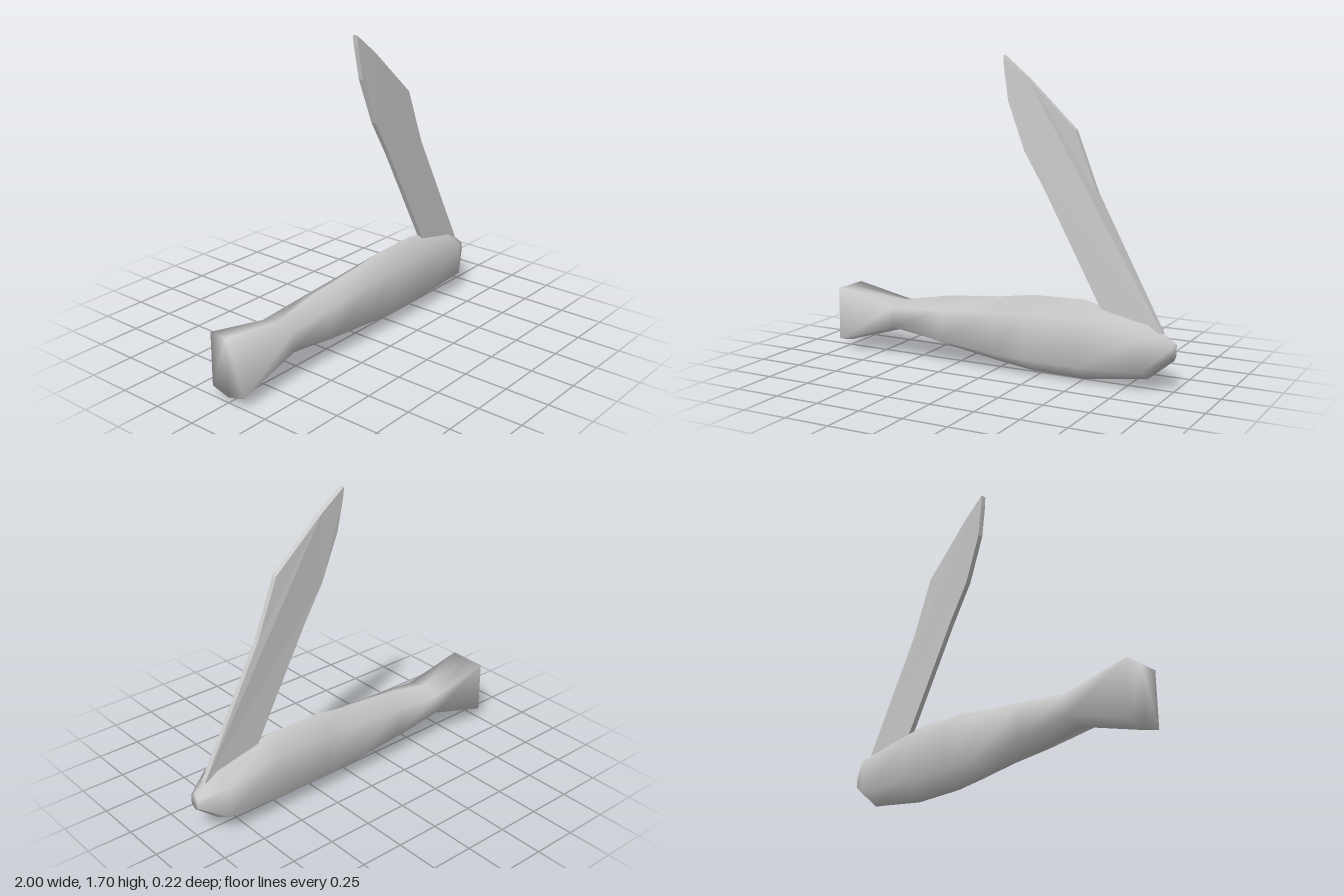
import * as THREE from 'three';

const material = new THREE.MeshStandardMaterial({ color: 0xcccccc, side: THREE.DoubleSide });

// Six-sided handle lofted through stations: x, top, upper side, lower side, bottom, half width
function makeHandle() {
  const stations = [
    [-1, 0.36, 0.36, 0.06, 0.03, 0.11],
    [-0.63, 0.31, 0.285, 0.17, 0.14, 0.11],
    [-0.33, 0.365, 0.305, 0.13, 0.08, 0.11],
    [0, 0.395, 0.325, 0.1, 0.03, 0.11],
    [0.2, 0.425, 0.34, 0.09, 0.005, 0.11],
    [0.5, 0.43, 0.345, 0.09, 0, 0.11],
    [0.86, 0.35, 0.29, 0.11, 0.05, 0.11],
    [1, 0.26, 0.24, 0.185, 0.165, 0.03],
  ];
  const positions = [], index = [], n = 6;
  for (const [x, top, upper, lower, bottom, w] of stations) {
    positions.push(x, top, 0, x, upper, w, x, lower, w, x, bottom, 0, x, lower, -w, x, upper, -w);
  }
  const last = (stations.length - 1) * n;
  for (let i = 0; i < last; i += n) {
    for (let j = 0; j < n; j++) {
      const a = i + j, b = i + (j + 1) % n;
      index.push(a, b, a + n, b, b + n, a + n);
    }
  }
  // End caps share the ring vertices, so the shading rolls over the ends
  for (let k = 1; k < n - 1; k++) {
    index.push(0, k + 1, k, last, last + k, last + k + 1);
  }
  const geometry = new THREE.BufferGeometry();
  geometry.setAttribute('position', new THREE.Float32BufferAttribute(positions, 3));
  geometry.setIndex(index);
  geometry.computeVertexNormals();
  return geometry;
}

// Thin blade cut from its outline, bending slightly backwards towards the point
function makeBlade() {
  const outline = [
    [0.94, 0.3], [0.57, 1], [0.445, 1.32], [0.16, 1.585], [0.015, 1.7],
    [0.02, 1.64], [0.05, 1.46], [0.15, 1.2], [0.27, 1], [0.59, 0.41], [0.64, 0.32],
  ].map(([x, y]) => new THREE.Vector2(x, y));
  const thickness = 0.03;
  const geometry = new THREE.ExtrudeGeometry(new THREE.Shape(outline), { depth: thickness, bevelEnabled: false });
  const p = geometry.attributes.position;
  for (let i = 0; i < p.count; i++) {
    const bend = 0.018 * THREE.MathUtils.clamp((p.getY(i) - 1.32) / 0.38, 0, 1);
    p.setZ(i, p.getZ(i) - thickness / 2 + 0.004 - bend);
  }
  geometry.computeVertexNormals();
  return geometry;
}

export function createModel() {
  const model = new THREE.Group();
  model.name = 'foldingKnife';
  const parts = { handle: makeHandle(), blade: makeBlade() };
  for (const [name, geometry] of Object.entries(parts)) {
    const mesh = new THREE.Mesh(geometry, material);
    mesh.name = name;
    model.add(mesh);
  }
  return model;
}
